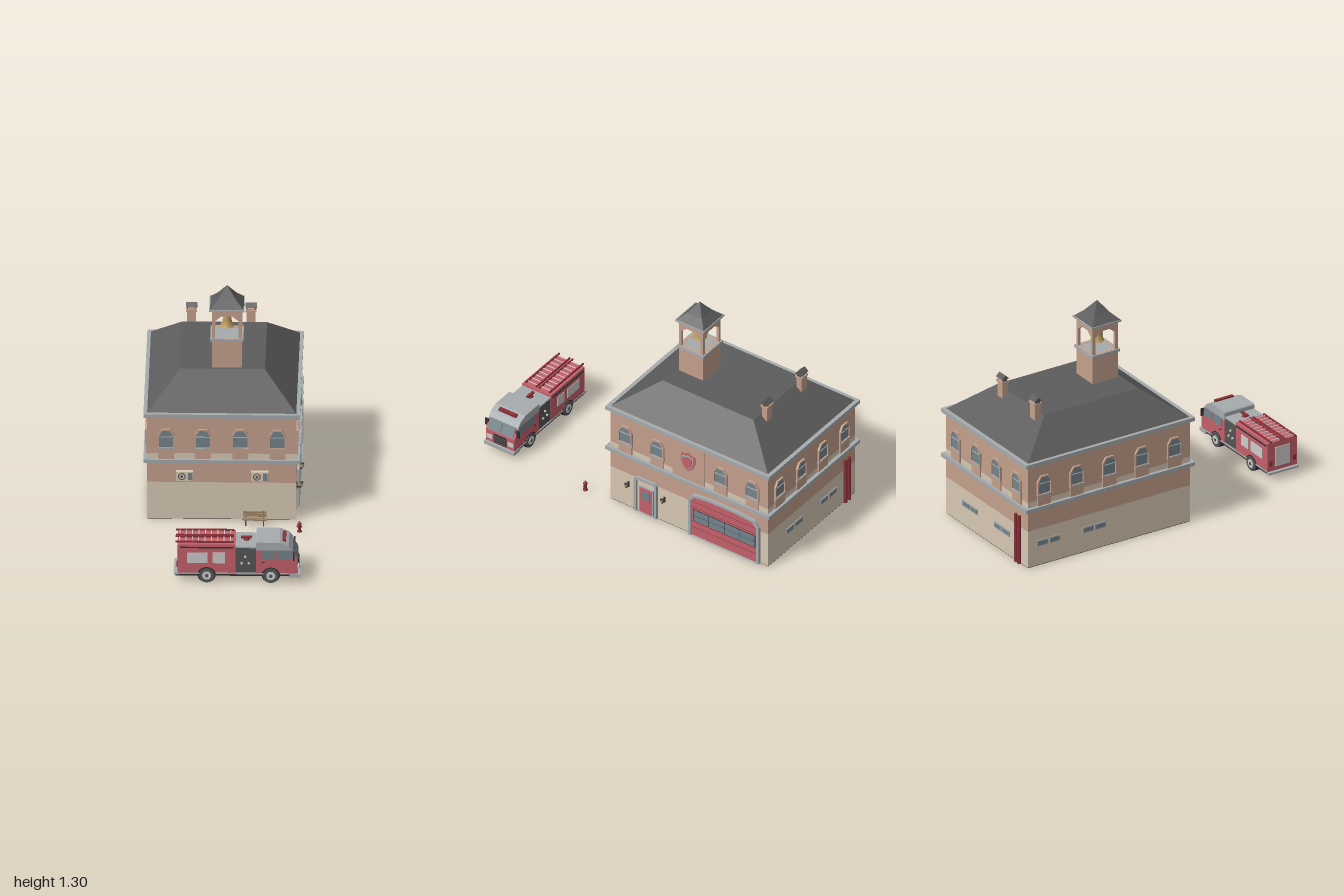
import * as THREE from 'three';

const C = { beige: 0xd8c8b4, brick: 0xc4a08c, roof: 0x5c5c5c, trim: 0xa6abae, red: 0xc4606a, darkRed: 0x8a3038,
  glass: 0x74848c, dark: 0x303030, mid: 0x555555, light: 0xc4c4c0, wood: 0x9a8260, gold: 0xb89a5c };
const mats = {};
const mat = c => mats[c] ??= new THREE.MeshStandardMaterial({ color: c, flatShading: true, side: THREE.DoubleSide });

function add(parent, name, geo, color, x = 0, y = 0, z = 0) {
  const m = new THREE.Mesh(geo, mat(color));
  m.name = name;
  m.position.set(x, y, z);
  parent.add(m);
  return m;
}
// Box given by its ranges along each axis
const box = (p, name, c, [x0, x1], [y0, y1], [z0, z1]) =>
  add(p, name, new THREE.BoxGeometry(x1 - x0, y1 - y0, z1 - z0), c, (x0 + x1) / 2, (y0 + y1) / 2, (z0 + z1) / 2);
const cyl = (p, name, c, r0, r1, h, x, y, z, n = 12) => add(p, name, new THREE.CylinderGeometry(r0, r1, h, n), c, x, y, z);
const group = (p, name, x = 0, y = 0, z = 0, ry = 0) => {
  const g = new THREE.Group();
  g.name = name;
  g.position.set(x, y, z);
  g.rotation.y = ry;
  p.add(g);
  return g;
};
const pts = a => a.map(([x, y]) => new THREE.Vector2(x, y));
function extrude(outline, depth, hole) {
  const s = new THREE.Shape(pts(outline));
  if (hole) s.holes.push(new THREE.Path(pts(hole)));
  return new THREE.ExtrudeGeometry(s, { depth, bevelEnabled: false });
}
// Opening with chamfered top corners
const arch = (w, y0, y1, rise, cut) =>
  [[-w, y0], [w, y0], [w, y1 - rise], [w - cut, y1], [cut - w, y1], [-w, y1 - rise]];

// Rectangular rings [halfX, halfZ, y] joined into a roof
function loft(rings) {
  const v = [], k = [[-1, 1], [1, 1], [1, -1], [-1, -1]];
  const at = ([a, b, y], i) => [k[i % 4][0] * a, y, k[i % 4][1] * b];
  for (let r = 0; r < rings.length - 1; r++) for (let i = 0; i < 4; i++) {
    const a = at(rings[r], i), b = at(rings[r], i + 1), c = at(rings[r + 1], i + 1), d = at(rings[r + 1], i);
    v.push(...a, ...b, ...c, ...a, ...c, ...d);
  }
  const g = new THREE.BufferGeometry();
  g.setAttribute('position', new THREE.Float32BufferAttribute(v, 3));
  g.computeVertexNormals();
  return g;
}

// Wall fittings: local x runs along the wall, z points outward
function upperWindow(wall, x) {
  const g = group(wall, 'upperWindow', x);
  box(g, 'windowApron', C.brick, [-0.045, 0.045], [0.377, 0.44], [0, 0.008]);
  box(g, 'windowSill', C.trim, [-0.05, 0.05], [0.438, 0.447], [0, 0.014]);
  add(g, 'windowFrame', extrude(arch(0.048, 0.445, 0.562, 0.035, 0.023), 0.012, arch(0.04, 0.449, 0.553, 0.032, 0.02)), C.brick);
  add(g, 'windowGlass', extrude(arch(0.041, 0.447, 0.555, 0.032, 0.02), 0.004), C.glass);
  box(g, 'windowBar', C.trim, [-0.041, 0.041], [0.51, 0.515], [0, 0.008]);
}
function lowWindow(wall, x) {
  const g = group(wall, 'lowWindow', x, 0.14);
  for (const s of [-1, 1]) {
    box(g, 'lowFrame', C.trim, [s * 0.041 - 0.037, s * 0.041 + 0.037], [-0.018, 0.018], [0, 0.005]);
    box(g, 'lowGlass', C.glass, [s * 0.041 - 0.031, s * 0.041 + 0.031], [-0.012, 0.012], [0, 0.007]);
  }
}
function airConditioner(wall, x) {
  const g = group(wall, 'airConditioner', x, 0.277);
  box(g, 'unitCase', C.beige, [-0.049, 0.049], [-0.028, 0.028], [0, 0.028]);
  add(g, 'fanRing', new THREE.TorusGeometry(0.019, 0.003, 6, 16), C.mid, -0.015, 0, 0.028);
  cyl(g, 'fanHub', C.mid, 0.008, 0.008, 0.006, -0.015, 0, 0.028).rotation.x = Math.PI / 2;
  box(g, 'unitGrille', C.glass, [0.019, 0.044], [-0.022, 0.022], [0.027, 0.03]);
}
function wallLamp(wall, x) {
  const g = group(wall, 'wallLamp', x, 0.165);
  box(g, 'lampArm', C.dark, [-0.003, 0.003], [-0.02, -0.014], [0, 0.028]);
  box(g, 'lampPlate', C.dark, [-0.005, 0.005], [-0.026, 0.012], [0, 0.004]);
  cyl(g, 'lampGlass', C.gold, 0.009, 0.006, 0.022, 0, -0.002, 0.028, 6);
  cyl(g, 'lampCap', C.dark, 0.002, 0.012, 0.01, 0, 0.014, 0.028, 6);
}

function building(root) {
  const b = group(root, 'fireStation', -0.01, 0, -0.428);
  const slab = (name, c, hx, hz, y0, y1) => box(b, name, c, [-hx, hx], [y0, y1], [-hz, hz]);
  slab('foundation', C.dark, 0.421, 0.547, 0, 0.004);
  slab('lowerWall', C.beige, 0.422, 0.548, 0.003, 0.23);
  slab('lowerBrick', C.brick, 0.422, 0.548, 0.23, 0.356);
  slab('ledge', C.trim, 0.443, 0.57, 0.355, 0.377);
  slab('paleBand', C.beige, 0.422, 0.548, 0.377, 0.41);
  slab('upperBrick', C.brick, 0.422, 0.548, 0.41, 0.638);
  slab('eaves', C.trim, 0.443, 0.57, 0.637, 0.66);
  add(b, 'hipRoof', loft([[0.422, 0.546, 0.66], [0.24, 0.316, 0.83], [0, 0, 0.83]]), C.roof);

  const front = group(b, 'frontWall', 0, 0, 0.548), back = group(b, 'backWall', 0, 0, -0.548, Math.PI);
  const right = group(b, 'garageWall', 0.422, 0, 0, Math.PI / 2), left = group(b, 'plainWall', -0.422, 0, 0, -Math.PI / 2);
  for (const x of [-0.315, -0.105, 0.105, 0.315]) { upperWindow(front, x); upperWindow(back, x); }
  for (const x of [-0.44, -0.22, 0, 0.22, 0.44]) { upperWindow(left, x); if (x) upperWindow(right, x); }
  for (const x of [-0.17, 0.16]) lowWindow(back, x);
  for (const x of [-0.41, -0.1]) lowWindow(left, x);
  for (const x of [-0.21, 0.215]) airConditioner(front, x);
  for (const x of [0.315, 0.35]) cyl(back, 'standpipe', C.darkRed, 0.011, 0.011, 0.3, x, 0.155, 0.012, 8);

  // Raised panel with shield
  box(right, 'shieldPanel', C.brick, [-0.11, 0.11], [0.377, 0.637], [0, 0.008]);
  const shield = k => [[0, -0.06], [0.03, -0.035], [0.044, 0], [0.044, 0.045], [0.025, 0.045], [0, 0.058],
    [-0.025, 0.045], [-0.044, 0.045], [-0.044, 0], [-0.03, -0.035]].map(([x, y]) => [x * k, y * k]);
  [[1.1, C.red, 0.014], [0.85, C.trim, 0.018], [0.7, C.red, 0.022]].forEach(([k, c, d]) =>
    add(right, 'shield', extrude(shield(k), d), c, 0, 0.51, 0));

  // Entrance door
  const d = group(right, 'entrance', -0.297);
  add(d, 'doorSurround', extrude(arch(0.078, 0.003, 0.246, 0.012, 0.012), 0.016, arch(0.062, 0.004, 0.23, 0.01, 0.01)), C.trim);
  box(d, 'doorFrame', C.trim, [-0.05, 0.05], [0.003, 0.185], [0, 0.006]);
  box(d, 'doorLeaf', C.red, [-0.043, 0.043], [0.008, 0.177], [0, 0.01]);
  box(d, 'doorGlass', C.glass, [-0.027, 0.027], [0.1, 0.16], [0, 0.013]);
  for (const x of [-0.422, -0.172]) wallLamp(right, x);

  // Garage door
  const gd = group(right, 'garageDoor', 0.25);
  const curve = (w, y, rise) => [[-w, 0.003], [w, 0.003], [w, y],
    ...[0.88, 0.45, 0, -0.45, -0.88].map((t, i) => [w * t, y + rise * [0.72, 0.93, 1, 0.93, 0.72][i]]), [-w, y]];
  add(gd, 'garageFrame', extrude(curve(0.245, 0.262, 0.048), 0.02, curve(0.228, 0.252, 0.043)), C.trim);
  add(gd, 'garagePanel', extrude(curve(0.23, 0.252, 0.043), 0.008), C.red);
  for (const y of [0.06, 0.1, 0.2, 0.24]) box(gd, 'panelSeam', C.darkRed, [-0.228, 0.228], [y, y + 0.002], [0, 0.009]);
  box(gd, 'garageWindowFrame', C.dark, [-0.216, 0.216], [0.107, 0.187], [0, 0.01]);
  for (let i = 0; i < 4; i++) for (const y of [0.11, 0.149])
    box(gd, 'garageGlass', C.glass, [-0.212 + i * 0.107, -0.109 + i * 0.107], [y, y + 0.035], [0, 0.012]);

  // Bell tower
  const t = group(b, 'bellTower', 0.024, 0, 0.212);
  box(t, 'towerBase', C.brick, [-0.085, 0.085], [0.8, 1], [-0.085, 0.085]);
  box(t, 'towerLedge', C.trim, [-0.094, 0.094], [0.994, 1.01], [-0.094, 0.094]);
  for (let i = 0; i < 4; i++) {
    const side = group(t, 'belfrySide', 0, 0, 0, i * Math.PI / 2);
    add(side, 'belfryArch', extrude([[-0.085, 1.01], [0.085, 1.01], [0.085, 1.185], [-0.085, 1.185]], 0.017,
      arch(0.067, 1.011, 1.148, 0.03, 0.038)), C.brick, 0, 0, 0.068);
  }
  box(t, 'towerEaves', C.trim, [-0.1, 0.1], [1.182, 1.193], [-0.1, 0.1]);
  add(t, 'towerRoof', loft([[0.095, 0.095, 1.193], [0.052, 0.052, 1.235], [0, 0, 1.305]]), C.roof);
  const bell = pts([[0.001, 1.135], [0.015, 1.132], [0.022, 1.12], [0.026, 1.085], [0.033, 1.065], [0.041, 1.052], [0.038, 1.05]]);
  add(t, 'bell', new THREE.LatheGeometry(bell, 14), C.gold);
  cyl(t, 'bellHanger', C.mid, 0.005, 0.005, 0.055, 0, 1.157, 0, 6);
  add(t, 'clapper', new THREE.SphereGeometry(0.01, 8, 6), C.gold, 0, 1.052, 0);

  // Chimneys
  for (const x of [-0.188, 0.149]) {
    const c = group(b, 'chimney', x, 0, -0.345);
    box(c, 'chimneyStack', C.brick, [-0.025, 0.025], [0.76, 0.905], [-0.018, 0.018]);
    box(c, 'chimneyCollar', C.brick, [-0.031, 0.031], [0.888, 0.9], [-0.024, 0.024]);
    for (const s of [-1, 1]) box(c, 'capPost', C.mid, [s * 0.023 - 0.003, s * 0.023 + 0.003], [0.9, 0.922], [-0.014, 0.014]);
    add(c, 'chimneyCap', loft([[0.032, 0.025, 0.915], [0.032, 0, 0.938]]), C.roof);
  }
}

function streetFurniture(root) {
  const b = group(root, 'bench', 0.178, 0, 0.19);
  for (let i = 0; i < 3; i++) {
    box(b, 'seatSlat', C.wood, [-0.067, 0.067], [0.034, 0.038], [-0.012 + i * 0.012, -0.003 + i * 0.012]);
    box(b, 'backSlat', C.wood, [-0.067, 0.067], [0.042 + i * 0.011, 0.05 + i * 0.011], [-0.02 - i * 0.002, -0.016 - i * 0.002]);
  }
  for (const s of [-0.05, 0.05]) {
    for (const z of [-0.015, 0.018]) box(b, 'benchLeg', C.mid, [s - 0.003, s + 0.003], [0, 0.034], [z - 0.003, z + 0.003]);
    box(b, 'benchBackPost', C.mid, [s - 0.003, s + 0.003], [0.03, 0.073], [-0.026, -0.021]);
  }
  const h = group(root, 'hydrant', 0.433, 0, 0.28);
  const profile = pts([[0, 0], [0.014, 0], [0.014, 0.006], [0.009, 0.008], [0.009, 0.042], [0.013, 0.044], [0.011, 0.054], [0.004, 0.06], [0.003, 0.066], [0, 0.066]]);
  add(h, 'hydrantBody', new THREE.LatheGeometry(profile, 10), C.darkRed);
  cyl(h, 'hydrantOutlets', C.darkRed, 0.005, 0.005, 0.032, 0, 0.033, 0, 8).rotation.z = Math.PI / 2;
}

function truck(root) {
  const t = group(root, 'fireTruck', 0, 0, 0.868);
  const W = 0.1, across = [-W, W];
  box(t, 'chassis', C.dark, [-0.255, 0.44], [0.04, 0.054], [-0.097, 0.097]);
  box(t, 'underTank', C.dark, [-0.2, 0.06], [0.024, 0.045], [-0.045, 0.045]);
  box(t, 'rearStep', C.trim, [-0.264, -0.235], [0.045, 0.056], across);
  box(t, 'rearBody', C.red, [-0.243, 0.085], [0.054, 0.235], across);
  box(t, 'pumpPanel', C.mid, [0.085, 0.2], [0.054, 0.215], [-0.096, 0.096]);
  box(t, 'pumpDeck', C.trim, [0.085, 0.2], [0.213, 0.222], [-0.098, 0.098]);
  add(t, 'cabBody', extrude([[0.2, 0.052], [0.437, 0.052], [0.437, 0.137], [0.402, 0.205], [0.2, 0.205]], 2 * W), C.red, 0, 0, -W);
  add(t, 'cabRoof', extrude([[0.2, 0.2], [0.408, 0.2], [0.386, 0.228], [0.335, 0.25], [0.205, 0.25], [0.2, 0.245]], 0.204), C.trim, 0, 0, -0.102);
  for (const s of [-1, 1])
    add(t, 'windshield', extrude([[0.434, 0.143], [0.439, 0.143], [0.409, 0.202], [0.402, 0.202]], 0.084), C.glass, 0, 0, s * 0.044 - 0.042);
  box(t, 'lightBar', C.darkRed, [0.35, 0.37], [0.232, 0.252], [-0.06, 0.06]);
  box(t, 'grille', C.dark, [0.43, 0.443], [0.065, 0.122], [-0.044, 0.044]);
  for (let i = 0; i < 4; i++) box(t, 'grilleBar', C.mid, [0.44, 0.446], [0.071 + i * 0.013, 0.075 + i * 0.013], [-0.042, 0.042]);
  box(t, 'frontBumper', C.trim, [0.39, 0.452], [0.035, 0.056], [-0.104, 0.104]);
  box(t, 'tailPanel', C.light, [-0.247, -0.24], [0.08, 0.2], [-0.05, 0.05]);

  // Parts repeated on both sides
  for (const s of [-1, 1]) {
    const side = (name, c, x, y, out = 0.003) => box(t, name, c, x, y, s > 0 ? [0.094, W + out] : [-W - out, -0.094]);
    side('lockerWindow', C.light, [-0.19, -0.072], [0.12, 0.185]);
    side('lockerWindow', C.light, [-0.045, 0.025], [0.12, 0.185]);
    side('sideRail', C.dark, [-0.23, 0.075], [0.214, 0.22], 0.006);
    side('sideStripe', C.trim, [-0.243, 0.437], [0.052, 0.06], 0.002);
    side('doorWindow', C.glass, [0.232, 0.315], [0.147, 0.203]);
    add(t, 'quarterWindow', extrude([[0.325, 0.147], [0.422, 0.147], [0.395, 0.203], [0.325, 0.203]], 0.003), C.glass, 0, 0, s > 0 ? W : -W - 0.003);
    side('doorHandle', C.dark, [0.235, 0.25], [0.125, 0.13], 0.005);
    side('mirror', C.dark, [0.412, 0.42], [0.145, 0.19], 0.02);
    box(t, 'headlight', C.light, [0.43, 0.443], [0.08, 0.105], [s * 0.073 - 0.018, s * 0.073 + 0.018]);
    box(t, 'tailLight', C.darkRed, [-0.248, -0.24], [0.09, 0.12], [s * 0.08 - 0.01, s * 0.08 + 0.01]);
    for (const [x, y] of [[0.14, 0.16], [0.12, 0.12], [0.16, 0.12]])
      cyl(t, 'valve', C.light, 0.007, 0.007, 0.01, x, y, s * 0.099, 8).rotation.x = Math.PI / 2;
    for (const x of [-0.078, 0.285]) {
      const w = group(t, 'wheel', x, 0.045, s * 0.085);
      cyl(w, 'wheelArch', C.dark, 0.052, 0.052, 0.034, 0, 0.003, 0, 18).rotation.x = Math.PI / 2;
      w.children[0].scale.set(1, 1, 0.9);
      cyl(w, 'tyre', C.mid, 0.044, 0.044, 0.042, 0, 0, 0, 18).rotation.x = Math.PI / 2;
      cyl(w, 'rim', C.light, 0.026, 0.026, 0.047, 0, 0, 0, 14).rotation.x = Math.PI / 2;
      cyl(w, 'hub', C.mid, 0.01, 0.01, 0.052, 0, 0, 0, 8).rotation.x = Math.PI / 2;
    }
    // Roof ladder
    const l = group(t, 'ladder', 0, 0.243, s * 0.046);
    for (const z of [-0.036, 0.036]) box(l, 'ladderRail', C.darkRed, [-0.255, 0.075], [-0.004, 0.005], [z - 0.004, z + 0.004]);
    for (let i = 0; i < 9; i++) box(l, 'ladderRung', C.light, [-0.235 + i * 0.036, -0.23 + i * 0.036], [-0.002, 0.002], [-0.036, 0.036]);
  }
  cyl(t, 'monitorBase', C.darkRed, 0.014, 0.018, 0.014, 0.145, 0.228, 0, 10);
  box(t, 'monitorBarrel', C.darkRed, [0.115, 0.175], [0.232, 0.242], [-0.008, 0.008]);
}

export function createModel() {
  const root = new THREE.Group();
  root.name = 'fireStationScene';
  building(root);
  streetFurniture(root);
  truck(root);
  return root;
}
